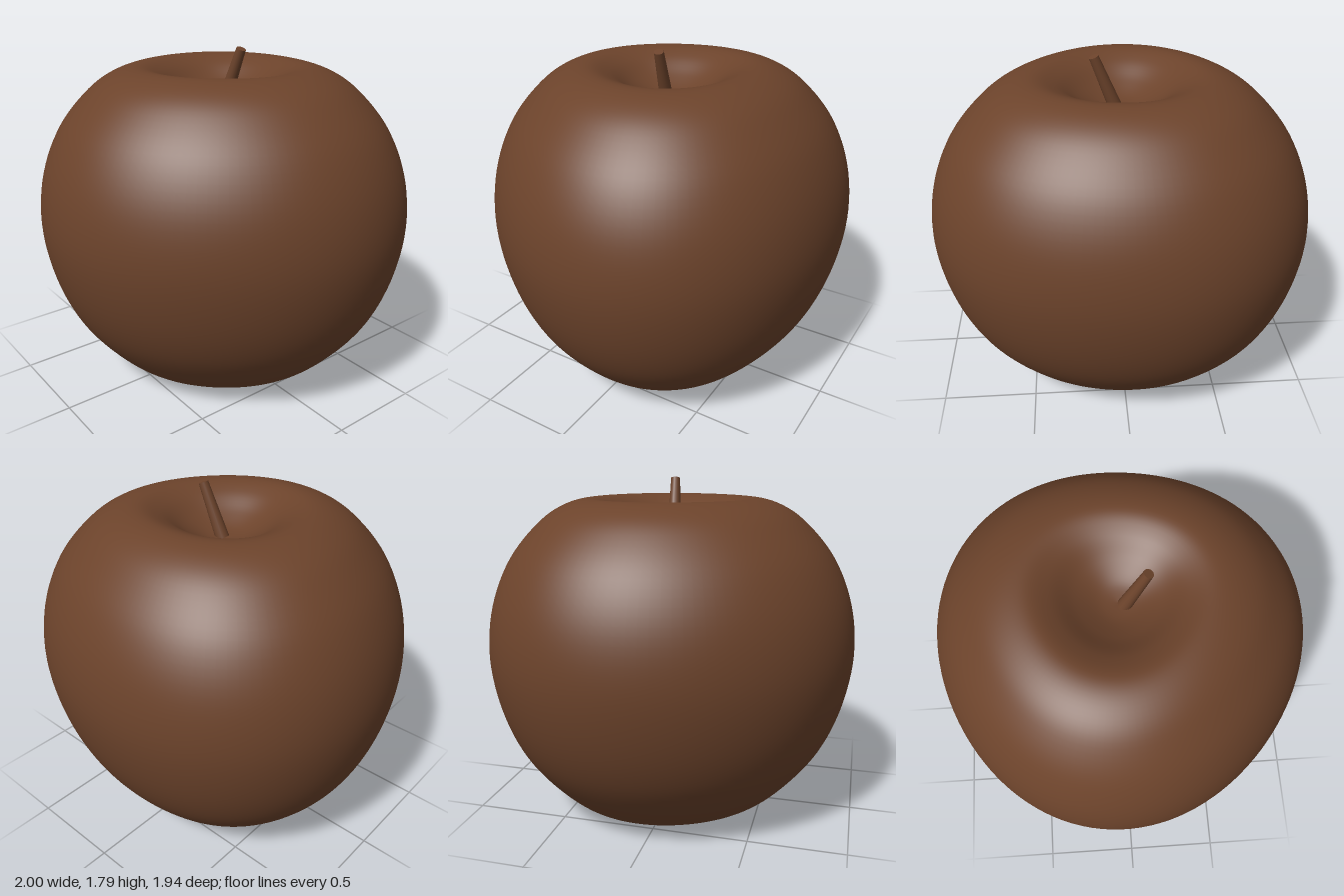
import * as THREE from 'three';
import { mergeVertices } from 'three/addons/utils/BufferGeometryUtils.js';

const brown = new THREE.MeshStandardMaterial({ color: 0x6c432b });
brown.name = 'brown';

// Fruit: a turned profile with a hollow at each end, made slightly uneven around its axis
function fruitGeometry() {
  const profile = new THREE.SplineCurve([
    [0, 0.085], [0.13, 0.07], [0.27, 0.026], [0.41, 0], [0.56, 0.055], [0.71, 0.19],
    [0.86, 0.39], [0.957, 0.63], [1, 0.9], [0.97, 1.16], [0.873, 1.39], [0.725, 1.565],
    [0.59, 1.656], [0.45, 1.69], [0.33, 1.655], [0.21, 1.58], [0.1, 1.53], [0, 1.515],
  ].map(([x, y]) => new THREE.Vector2(x, y)));
  const points = profile.getPoints(102);
  points[0].x = points[points.length - 1].x = 0;

  const geometry = new THREE.LatheGeometry(points, 120);
  const pos = geometry.attributes.position;
  for (let i = 0; i < pos.count; i++) {
    const x = pos.getX(i), z = pos.getZ(i);
    const a = Math.atan2(x, z);
    const swell = 0.982 - 0.0145 * Math.cos(2 * a) + 0.026 * Math.cos(3 * a) - 0.0113 * Math.sin(3 * a);
    pos.setXYZ(i, x * swell - 0.011, pos.getY(i), z * swell - 0.026);
  }

  // Weld the seam so the shading stays smooth
  geometry.deleteAttribute('uv');
  geometry.deleteAttribute('normal');
  const welded = mergeVertices(geometry, 1e-4);
  welded.computeVertexNormals();
  return welded;
}

// Stem: a slim tapered rod leaning towards the left
function stemMesh() {
  const base = new THREE.Vector3(0.017, 1.51, -0.02);
  const tip = new THREE.Vector3(0.126, 1.785, -0.04);
  const axis = tip.clone().sub(base);
  const stem = new THREE.Mesh(new THREE.CylinderGeometry(0.025, 0.036, axis.length(), 16), brown);
  stem.position.copy(base).add(tip).multiplyScalar(0.5);
  stem.quaternion.setFromUnitVectors(new THREE.Vector3(0, 1, 0), axis.normalize());
  stem.name = 'stem';
  return stem;
}

export function createModel() {
  const model = new THREE.Group();
  model.name = 'apple';
  const fruit = new THREE.Mesh(fruitGeometry(), brown);
  fruit.name = 'fruit';
  model.add(fruit, stemMesh());
  return model;
}
